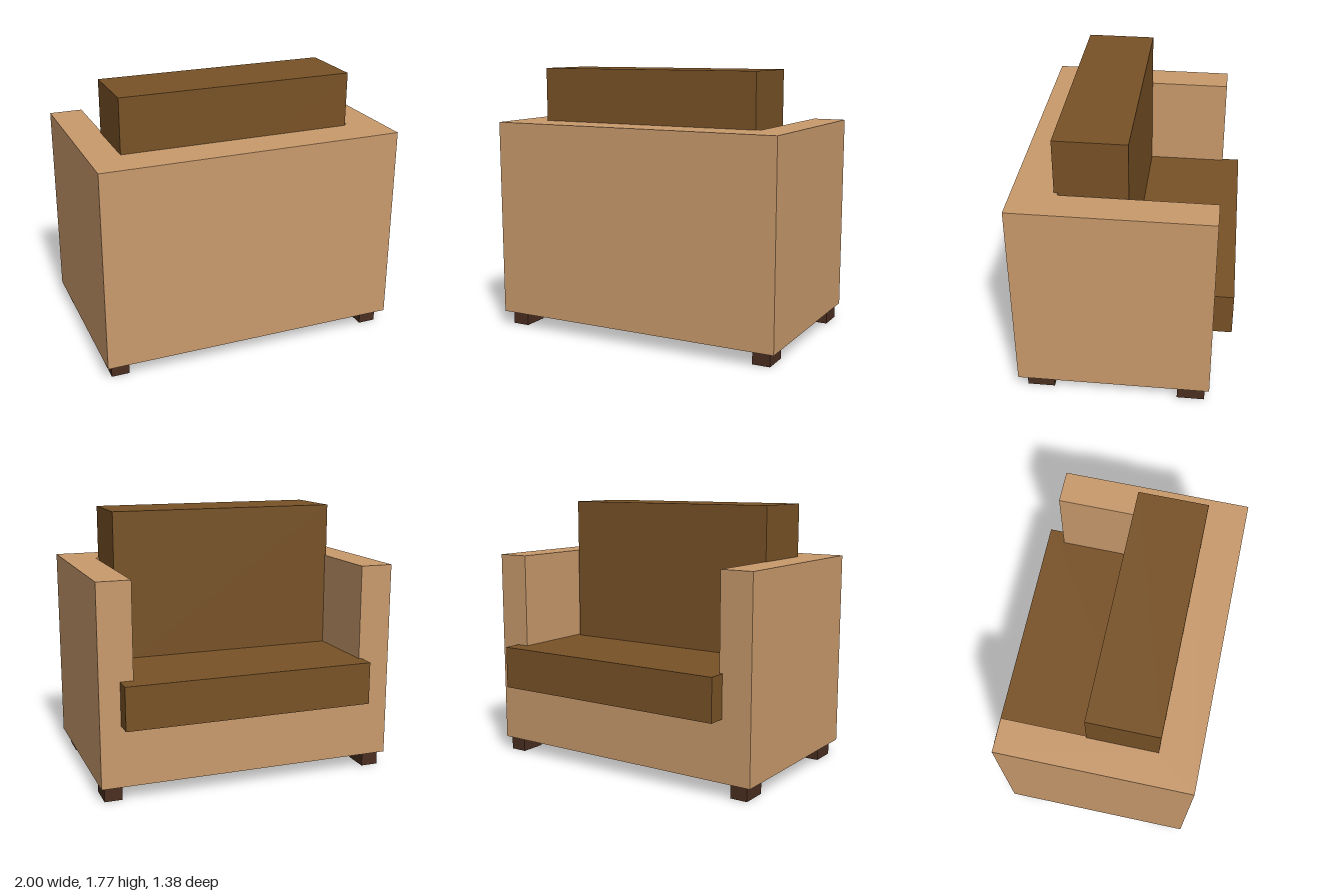
import * as THREE from 'three';

const material = (color) => new THREE.MeshStandardMaterial({ color, flatShading: true });

// Box given by its extents along each axis
function block(name, mat, [x0, x1], [y0, y1], [z0, z1]) {
  const mesh = new THREE.Mesh(new THREE.BoxGeometry(x1 - x0, y1 - y0, z1 - z0), mat);
  mesh.position.set((x0 + x1) / 2, (y0 + y1) / 2, (z0 + z1) / 2);
  mesh.name = name;
  return mesh;
}

export function createModel() {
  const group = new THREE.Group();
  group.name = 'armchair';
  const tan = material(0xc99a6c);
  const brown = material(0x785226);
  const dark = material(0x4a2e20);

  const bottom = 0.096, top = 1.41;
  const front = -0.57, back = 0.69, backInner = 0.405, armInner = 0.78;

  // Arms and back rest: one U-shaped plan pulled upwards (shape y becomes -z)
  const plan = new THREE.Shape([
    [-1, front], [-1, back], [1, back], [1, front],
    [armInner, front], [armInner, backInner], [-armInner, backInner], [-armInner, front],
  ].map(([x, z]) => new THREE.Vector2(x, -z)));
  const shell = new THREE.Mesh(
    new THREE.ExtrudeGeometry(plan, { depth: top - bottom, bevelEnabled: false }), tan);
  shell.rotation.x = -Math.PI / 2;
  shell.position.y = bottom;
  shell.name = 'armsAndBack';
  group.add(shell);

  // Base under the seat
  group.add(block('seatBase', tan, [-armInner, armInner], [bottom, 0.5], [front, backInner]));

  // Cushions
  group.add(block('seatCushion', brown, [-0.8, 0.865], [0.5, 0.783], [-0.69, 0.42]));
  group.add(block('backCushion', brown, [-0.79, 0.755], [0.7, 1.767], [-0.025, 0.43]));

  // Feet
  const feet = [
    ['frontRightFoot', -0.965, -0.54], ['frontLeftFoot', 0.86, -0.54],
    ['backRightFoot', -0.965, 0.457], ['backLeftFoot', 0.84, 0.457],
  ];
  for (const [name, x, z] of feet) {
    group.add(block(name, dark, [x, x + 0.117], [0, bottom], [z, z + 0.18]));
  }
  return group;
}
